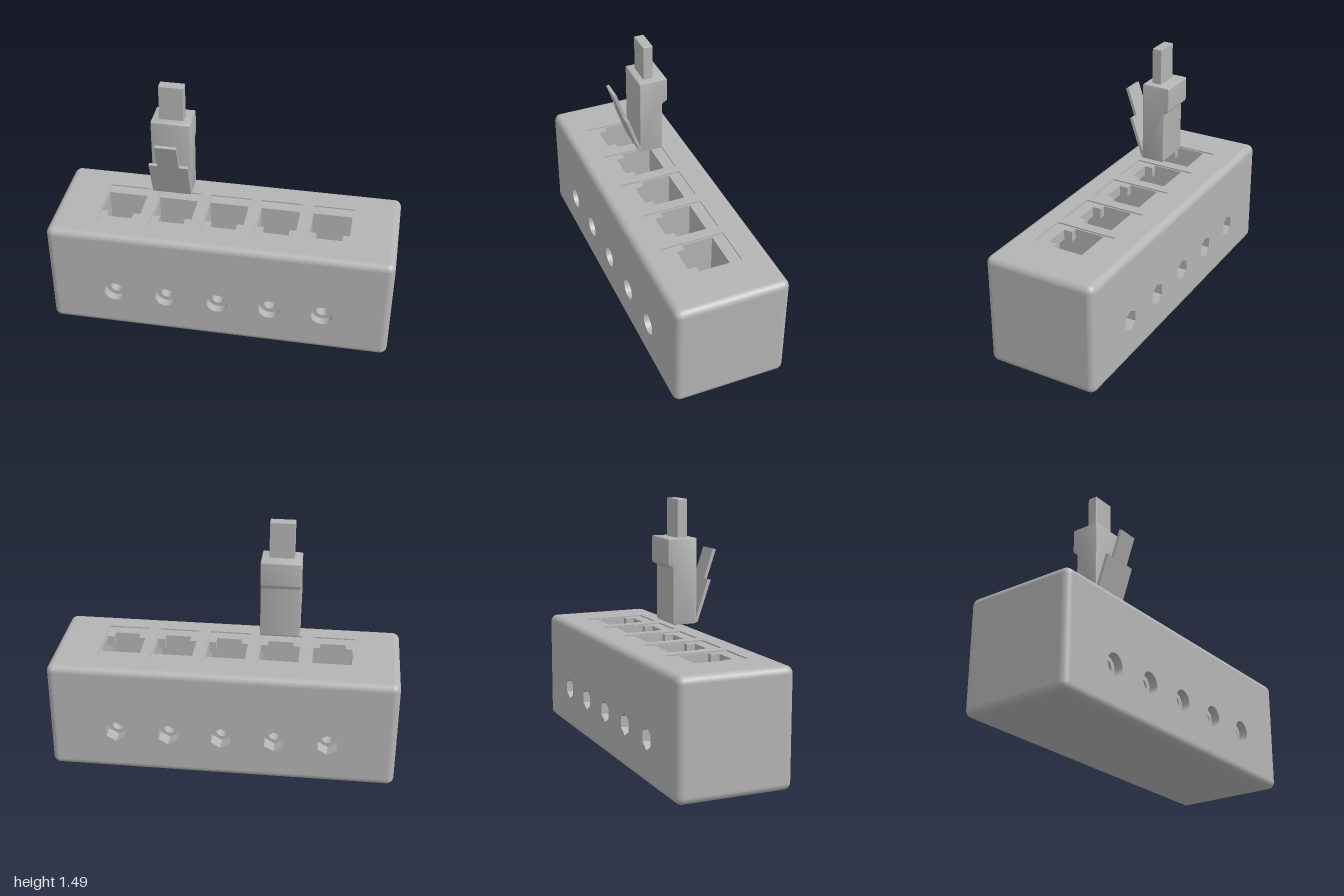
import * as THREE from 'three';
import { toCreasedNormals } from 'three/addons/utils/BufferGeometryUtils.js';
import { RoundedBoxGeometry } from 'three/addons/geometries/RoundedBoxGeometry.js';

const H = 0.664, HALF = H / 2, R = 0.042;      // block height, half depth, edge radius
const HOLE_Y = 0.255, HOLE_R = 0.036;
const SOCKETS = [-0.612, -0.306, 0, 0.306, 0.612];

const grey = new THREE.MeshStandardMaterial({ color: 0xb4b4b4, side: THREE.DoubleSide });
grey.name = 'grey plastic';

function add(parent, name, geometry, x = 0, y = 0, z = 0) {
  const mesh = new THREE.Mesh(geometry, grey);
  mesh.name = name;
  mesh.position.set(x, y, z);
  parent.add(mesh);
  return mesh;
}

const poly = (pts, Type = THREE.Shape) => new Type(pts.map(p => new THREE.Vector2(...p)));
const rect = (x0, y0, x1, y1, Type) => poly([[x0, y0], [x1, y0], [x1, y1], [x0, y1]], Type);

// flat slab with holes, its outer face at z = 0
function slab(shape, holes, depth) {
  shape.holes = holes;
  const g = new THREE.ExtrudeGeometry(shape, { depth, bevelEnabled: false, curveSegments: 32 });
  return toCreasedNormals(g.translate(0, 0, -depth), 0.5);
}

// rounded block without its flat top, front and back
function shell() {
  const g = new RoundedBoxGeometry(2, H, H, 5, R);
  const p = g.attributes.position, n = g.attributes.normal;
  const pos = [], nor = [];
  const onFace = (i, f) => [0, 1, 2].every(k => f(i + k) > HALF - 1e-5);
  for (let i = 0; i < p.count; i += 3) {
    if (onFace(i, k => p.getY(k)) || onFace(i, k => Math.abs(p.getZ(k)))) continue;
    for (let k = i; k < i + 3; k++) {
      pos.push(p.getX(k), p.getY(k), p.getZ(k));
      nor.push(n.getX(k), n.getY(k), n.getZ(k));
    }
  }
  const out = new THREE.BufferGeometry();
  out.setAttribute('position', new THREE.Float32BufferAttribute(pos, 3));
  out.setAttribute('normal', new THREE.Float32BufferAttribute(nor, 3));
  return out;
}

function buildBlock() {
  const block = new THREE.Group();
  block.name = 'socketBlock';
  add(block, 'blockShell', shell(), 0, HALF, 0);

  const e = 1 - R, f = HALF - R, frontDepth = 0.05, backDepth = 0.08;
  const topHoles = SOCKETS.map(x => rect(x - 0.122, -0.198, x + 0.122, 0.168, THREE.Path));
  add(block, 'topFace', slab(rect(-e, -f, e, f), topHoles, 0.008).rotateX(-Math.PI / 2), 0, H, 0);

  // round counterbores in front, hexagonal nut pockets behind
  const dy = HOLE_Y - HALF;
  const round = SOCKETS.map(x => new THREE.Path().absarc(x, dy, 0.062, 0, Math.PI * 2));
  const hex = SOCKETS.map(x => poly([0, 1, 2, 3, 4, 5].map(i => {
    const a = Math.PI / 6 + i * Math.PI / 3;
    return [x + 0.064 * Math.cos(a), dy + 0.064 * Math.sin(a)];
  }), THREE.Path));
  add(block, 'frontFace', slab(rect(-e, -f, e, f), round, frontDepth), 0, HALF, HALF);
  add(block, 'backFace', slab(rect(-e, -f, e, f), hex, backDepth).rotateY(Math.PI), 0, HALF, -HALF);

  const z0 = -HALF + backDepth, z1 = HALF - frontDepth;
  const bore = new THREE.CylinderGeometry(HOLE_R, HOLE_R, z1 - z0, 32, 1, true).rotateX(Math.PI / 2);
  const seat = new THREE.RingGeometry(HOLE_R, 0.07, 32);
  const backSeat = seat.clone().rotateY(Math.PI);

  // T-shaped mouth over a wider cavity
  const mouth = poly([[-0.114, 0.1], [-0.114, -0.08], [-0.075, -0.08], [-0.075, -0.13],
    [0.075, -0.13], [0.075, -0.08], [0.114, -0.08], [0.114, 0.1]], THREE.Path);
  const lip = slab(rect(-0.122, -0.198, 0.122, 0.168), [mouth], 0.06).rotateX(-Math.PI / 2);
  const cavity = new THREE.BoxGeometry(0.228, 0.256, 0.29);
  const idx = Array.from(cavity.index.array);
  idx.splice(12, 6);                            // open the top
  cavity.setIndex(idx);

  for (const x of SOCKETS) {
    add(block, 'screwBore', bore, x, HOLE_Y, (z0 + z1) / 2);
    add(block, 'frontSeat', seat, x, HOLE_Y, z1);
    add(block, 'nutSeat', backSeat, x, HOLE_Y, z0);
    add(block, 'socketLip', lip, x, H - 0.008, 0);
    add(block, 'socketCavity', cavity, x, H - 0.068 - 0.128, 0.045);
  }
  return block;
}

function buildPlug() {
  const plug = new THREE.Group();
  plug.name = 'plug';
  plug.position.x = -0.309;

  // side profile, drawn with -z to the right, extruded across the width
  const s = new THREE.Shape();
  s.moveTo(-0.035, 0.81);
  s.lineTo(0.08, 0.81);
  s.quadraticCurveTo(0.092, 0.81, 0.092, 0.822);
  s.lineTo(0.092, 1.105);
  s.quadraticCurveTo(0.092, 1.122, 0.107, 1.126);
  s.quadraticCurveTo(0.122, 1.13, 0.122, 1.145);
  s.lineTo(0.122, 1.268);
  s.quadraticCurveTo(0.122, 1.278, 0.112, 1.278);
  s.lineTo(-0.037, 1.278);
  s.quadraticCurveTo(-0.047, 1.278, -0.047, 1.268);
  s.lineTo(-0.047, 0.822);
  s.quadraticCurveTo(-0.047, 0.81, -0.035, 0.81);
  const body = new THREE.ExtrudeGeometry(s, {
    depth: 0.212, bevelSize: 0.006, bevelThickness: 0.006, bevelOffset: -0.006, bevelSegments: 2, curveSegments: 5
  });
  body.translate(0, 0, -0.106).rotateY(Math.PI / 2);
  add(plug, 'plugBody', toCreasedNormals(body, 0.6));

  add(plug, 'cable', new RoundedBoxGeometry(0.14, 0.215, 0.058, 2, 0.004), 0, 1.378, -0.022);

  // stepped latch leaning out from the foot of the body
  const latch = poly([[-0.111, 0], [0.111, 0], [0.111, 0.242], [0.061, 0.242],
    [0.061, 0.41], [-0.061, 0.41], [-0.061, 0.242], [-0.111, 0.242]]);
  const g = new THREE.ExtrudeGeometry(latch, { depth: 0.018, bevelEnabled: false });
  add(plug, 'latch', g, 0, 0.822, 0.036).rotation.x = 0.33;
  return plug;
}

export function createModel() {
  const model = new THREE.Group();
  model.name = 'socketBlockWithPlug';
  model.add(buildBlock(), buildPlug());
  return model;
}
